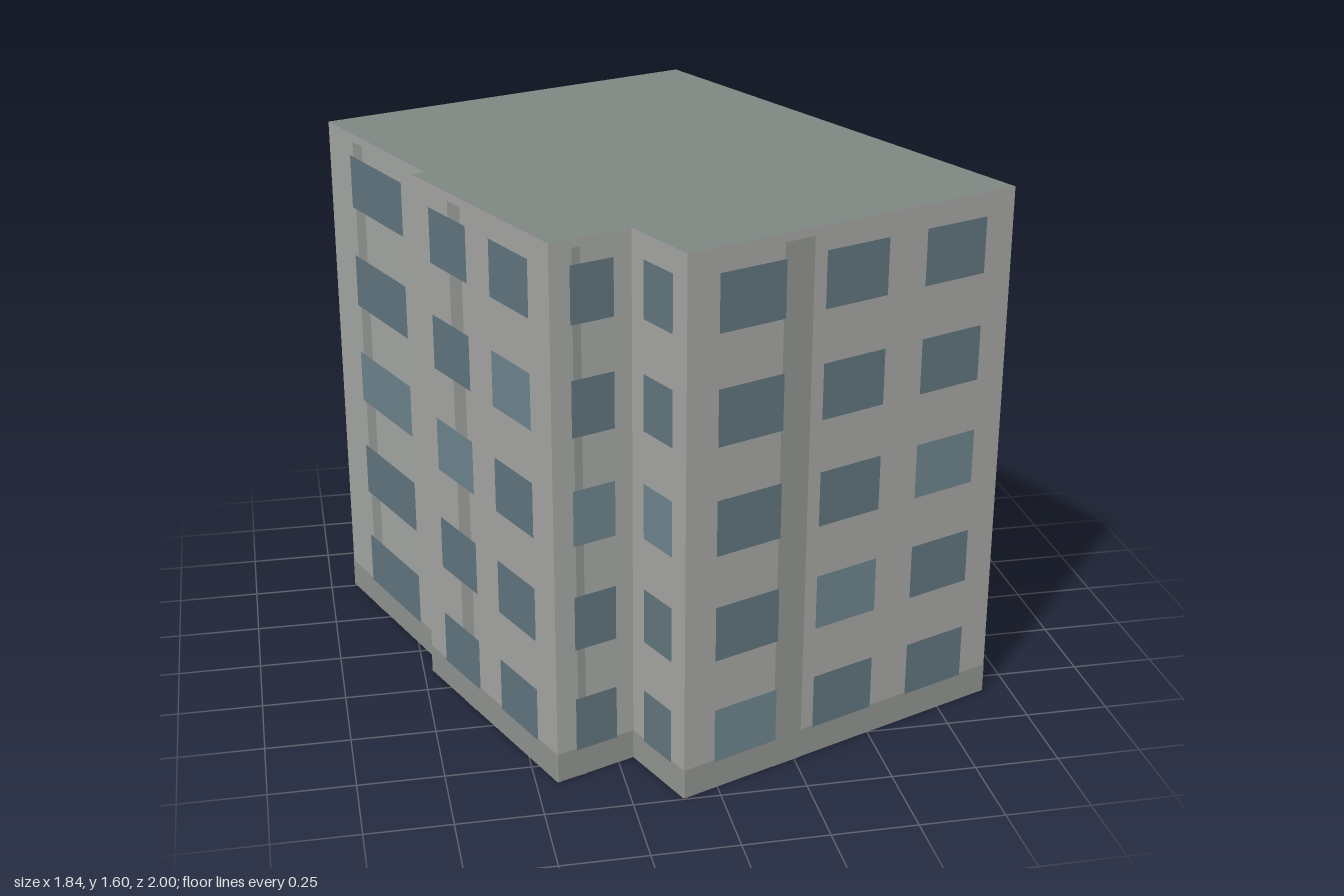
import * as THREE from 'three';

const HEIGHT = 1.6;
const FLOORS = 5;
const PITCH = 0.32;

const paint = (color, side = THREE.FrontSide) =>
  new THREE.MeshStandardMaterial({ color, side, flatShading: true });

// Each wall runs from its own corner to the next, left to right seen from outside.
// windows: [start, end] as fractions of the wall length.
const THREE_COLUMNS = [[0.09, 0.283], [0.403, 0.595], [0.715, 0.908]];
const ONE_COLUMN = [[0.24, 0.77]];
const WALLS = [
  { name: 'leftRearWall', at: [-0.92, -0.515], windows: ONE_COLUMN, strip: [0.27, 0.37], lit: 2 },
  { name: 'stepWall', at: [-0.683, 0.115], windows: [] },
  { name: 'leftFrontWall', at: [-0.722, 0.132], windows: [[0.137, 0.42], [0.59, 0.865]], strip: [0.285, 0.38], lit: 2 },
  { name: 'recessFrontWall', at: [-0.438, 0.845], windows: ONE_COLUMN, strip: [0.27, 0.37], lit: 2 },
  { name: 'recessSideWall', at: [-0.203, 0.752], windows: ONE_COLUMN, lit: 2 },
  { name: 'frontWall', at: [-0.105, 0.995], windows: THREE_COLUMNS, strip: [0.278, 0.366], lit: 0 },
  { name: 'rightWall', at: [0.917, 0.58], windows: THREE_COLUMNS, strip: [0.278, 0.36], lit: 0 },
  { name: 'backWall', at: [0.282, -1.0], windows: THREE_COLUMNS, strip: [0.278, 0.366], lit: 0 },
];

export function createModel() {
  const building = new THREE.Group();
  building.name = 'apartmentBlock';

  const wallPaint = paint(0xa3a5a2, THREE.DoubleSide);
  const trimPaint = paint(0x8f928e);
  const glass = paint(0x60747d);
  const litGlass = paint(0x6c828b);
  const roofPaint = paint(0x7e8682, THREE.DoubleSide);

  // Flat panel in a wall's own frame: x along the wall, z outward
  const addPanel = (parent, name, x0, x1, y0, y1, z, material) => {
    const panel = new THREE.Mesh(new THREE.PlaneGeometry(x1 - x0, y1 - y0), material);
    panel.position.set((x0 + x1) / 2, (y0 + y1) / 2, z);
    panel.name = name;
    parent.add(panel);
  };

  WALLS.forEach((wall, i) => {
    const [x, z] = wall.at;
    const [nextX, nextZ] = WALLS[(i + 1) % WALLS.length].at;
    const length = Math.hypot(nextX - x, nextZ - z);

    const side = new THREE.Group();
    side.name = wall.name;
    side.position.set(x, 0, z);
    side.rotation.y = Math.atan2(z - nextZ, nextX - x);
    building.add(side);

    // Wall and plinth
    addPanel(side, 'wall', 0, length, 0, HEIGHT, 0, wallPaint);
    addPanel(side, 'plinth', 0, length, 0, 0.09, 0.0015, trimPaint);

    // Vertical strip
    if (wall.strip) {
      const [a, b] = wall.strip;
      addPanel(side, 'verticalStrip', a * length, b * length, 0, 1.577, 0.0025, trimPaint);
    }

    // Windows, with one lighter pane per column
    wall.windows.forEach(([a, b], column) => {
      for (let floor = 0; floor < FLOORS; floor++) {
        const sill = 0.086 + floor * PITCH;
        const material = floor === wall.lit + column ? litGlass : glass;
        addPanel(side, 'window', a * length, b * length, sill, sill + 0.165, 0.004, material);
      }
    });
  });

  // Flat roof over the footprint
  const outline = new THREE.Shape(WALLS.map(({ at: [x, z] }) => new THREE.Vector2(x, -z)));
  const roof = new THREE.Mesh(new THREE.ShapeGeometry(outline).rotateX(-Math.PI / 2), roofPaint);
  roof.position.y = HEIGHT;
  roof.name = 'roof';
  building.add(roof);

  return building;
}
